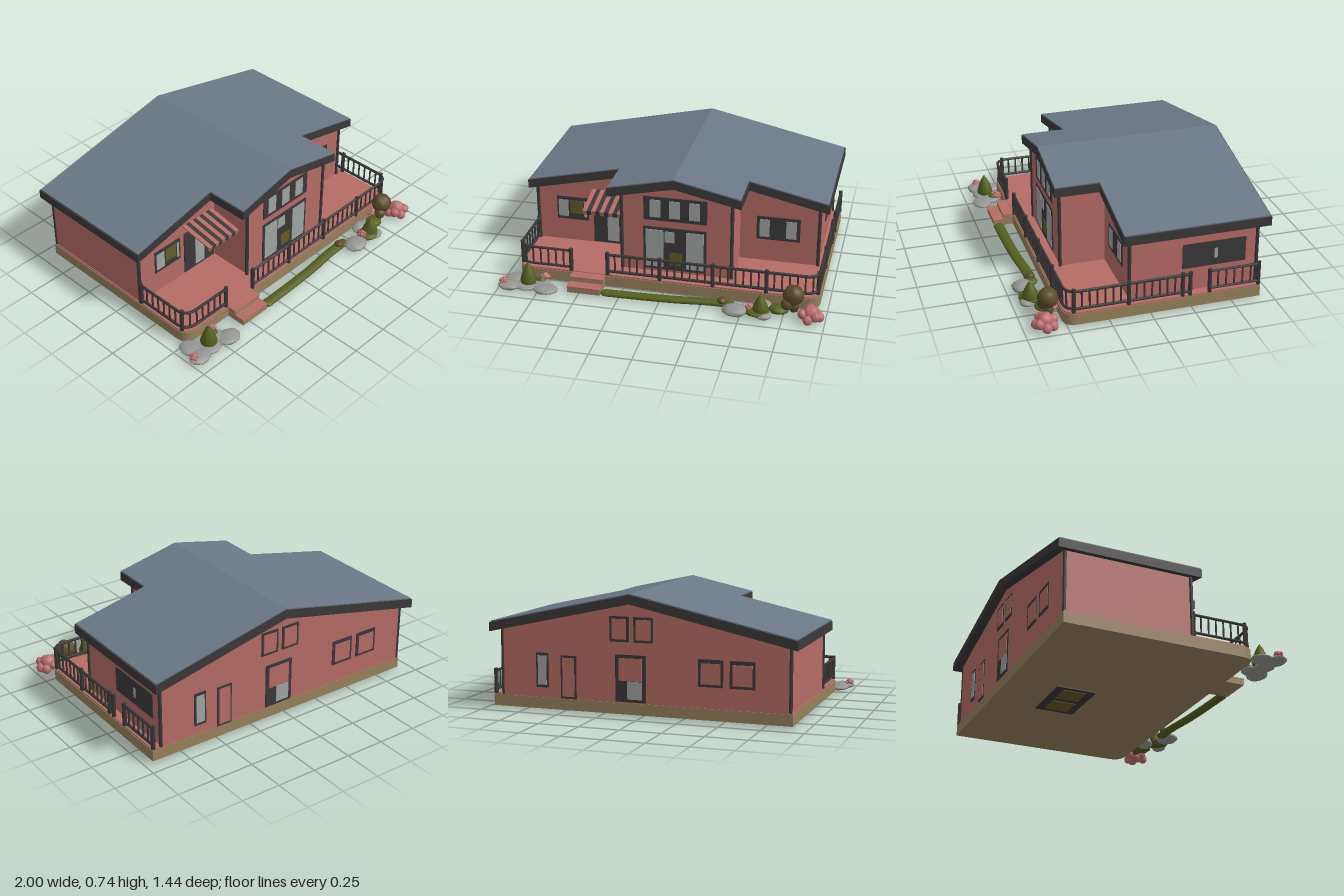
import * as THREE from 'three';
import { mergeGeometries } from 'three/addons/utils/BufferGeometryUtils.js';

const mat = (name, color) => {
  const m = new THREE.MeshStandardMaterial({ color });
  m.name = name;
  return m;
};

export function createModel() {
  const M = {
    roof: mat('slate blue roof', 0x6c7886),
    wall: mat('pink plaster', 0xb66c65),
    trim: mat('dark trim', 0x3b3839),
    base: mat('tan foundation', 0x98815c),
    glass: mat('pale glass', 0x9fa4a2),
    amber: mat('olive interior', 0x655a26),
    leaf: mat('leaf green', 0x55601f),
    bush: mat('brown green bush', 0x5a4c28),
    rock: mat('grey rock', 0x959593),
    flower: mat('pink flower', 0xb96e6e),
  };
  const model = new THREE.Group();
  model.name = 'house';

  const add = (name, geo, material, x = 0, y = 0, z = 0, parent = model) => {
    const mesh = new THREE.Mesh(geo, material);
    mesh.name = name;
    mesh.position.set(x, y, z);
    parent.add(mesh);
    return mesh;
  };
  // Box given by its limits
  const box = (name, material, x0, x1, y0, y1, z0, z1, parent = model) =>
    add(name, new THREE.BoxGeometry(x1 - x0, y1 - y0, z1 - z0), material,
      (x0 + x1) / 2, (y0 + y1) / 2, (z0 + z1) / 2, parent);
  // Outline in x and y, extruded from z0 to z1
  const prism = (name, material, points, z0, z1) => {
    const shape = new THREE.Shape(points.map(p => new THREE.Vector2(...p)));
    return add(name, new THREE.ExtrudeGeometry(shape, { depth: z1 - z0, bevelEnabled: false }), material, 0, 0, z0);
  };

  // Foundation and deck with rounded front corners
  const plan = (inset) => {
    const l = -0.915 + inset, r = 0.95 - inset, b = -0.67 + inset, f = 0.52 - inset, c = 0.08;
    const s = new THREE.Shape();
    s.moveTo(l, b);
    s.lineTo(r, b);
    s.lineTo(r, f - c);
    s.quadraticCurveTo(r, f, r - c, f);
    s.lineTo(l + c, f);
    s.quadraticCurveTo(l, f, l, f - c);
    return s;
  };
  const slab = (name, material, inset, y0, y1) => {
    const geo = new THREE.ExtrudeGeometry(plan(inset), { depth: y1 - y0, bevelEnabled: false, curveSegments: 6 });
    add(name, geo.rotateX(Math.PI / 2), material, 0, y1, 0);
  };
  slab('foundation', M.base, 0, 0.025, 0.093);
  slab('deck', M.wall, 0.004, 0.093, 0.102);

  // Front steps with pink treads
  [[0.645, 0.058], [0.58, 0.09]].forEach(([z, y]) => {
    box('step', M.base, -0.565, -0.36, 0.025, y, 0.5, z);
    box('stepTread', M.wall, -0.567, -0.358, y, y + 0.008, 0.5, z + 0.002);
  });

  // Walls reach up to the roof slope
  const ridge = 0.05;
  const top = x => 0.738 - 0.22 * Math.abs(x - ridge);
  const walls = (name, x0, x1, z0, z1) => prism(name, M.wall,
    [[x0, 0.095], [x1, 0.095], [x1, top(x1) - 0.03], [ridge, top(ridge) - 0.03], [x0, top(x0) - 0.03]], z0, z1);
  walls('mainWalls', -0.905, 0.89, -0.668, 0.12);
  walls('frontWing', -0.28, 0.4, 0.11, 0.4);

  // Roof: dark slab with a blue skin on top
  const chevron = (x0, x1, up, thick) => [
    [x0, top(x0) + up - thick], [ridge, top(ridge) + up - thick], [x1, top(x1) + up - thick],
    [x1, top(x1) + up], [ridge, top(ridge) + up], [x0, top(x0) + up]];
  prism('mainRoofEdge', M.trim, chevron(-0.95, 0.95, 0, 0.055), -0.72, 0.17);
  prism('wingRoofEdge', M.trim, chevron(-0.36, 0.46, 0, 0.055), 0.17, 0.442);
  prism('mainRoof', M.roof, chevron(-0.943, 0.943, 0.007, 0.009), -0.713, 0.166);
  prism('wingRoof', M.roof, chevron(-0.355, 0.455, 0.007, 0.009), 0.166, 0.438);

  // Dark corner posts
  [[-0.28, 0.4], [0.4, 0.4], [-0.905, 0.12], [0.89, 0.12], [0.89, -0.662], [-0.9, -0.662]].forEach(([x, z]) => {
    const h = top(x) - 0.04 - 0.1;
    add('cornerPost', new THREE.CylinderGeometry(0.011, 0.011, h, 8), M.trim, x, 0.1 + h / 2, z);
  });

  // Thin framed opening; panes are [x0, x1, y0, y1, material] in fractions of the frame
  const opening = (name, x, y, z, w, h, turn, panes, frame = M.trim) => {
    const g = new THREE.Group();
    g.name = name;
    g.position.set(x, y, z);
    g.rotation.y = turn;
    model.add(g);
    box('frame', frame, -w / 2, w / 2, -h / 2, h / 2, -0.002, 0.006, g);
    panes.forEach(([a, b, c, d, m]) =>
      box('pane', m, (a - 0.5) * w, (b - 0.5) * w, (c - 0.5) * h, (d - 0.5) * h, 0.004, 0.009, g));
  };
  const { glass, amber, trim, wall } = M;
  opening('upperWindow', 0.053, 0.528, 0.4, 0.39, 0.155, 0,
    [0.1, 0.41, 0.72].map(a => [a, a + 0.17, 0.14, 0.88, glass]));
  opening('glassDoor', 0.05, 0.262, 0.4, 0.39, 0.285, 0,
    [[0.04, 0.32, 0.06, 0.94, glass], [0.68, 0.96, 0.06, 0.94, glass], [0.42, 0.62, 0.12, 0.42, amber], [0.34, 0.5, 0.66, 0.92, glass]]);
  opening('frontDoor', -0.415, 0.26, 0.12, 0.25, 0.3, 0,
    [[0.36, 0.66, 0.05, 0.93, glass]]);
  opening('leftFrontWindow', -0.677, 0.328, 0.12, 0.205, 0.155, 0,
    [[0.05, 0.36, 0.12, 0.86, glass], [0.42, 0.82, 0.28, 0.86, amber], [0.86, 0.94, 0.15, 0.85, glass]]);
  opening('rightFrontWindow', 0.638, 0.328, 0.12, 0.27, 0.155, 0,
    [[0.07, 0.3, 0.12, 0.88, glass], [0.68, 0.92, 0.12, 0.88, glass]]);
  opening('sideWindow', 0.89, 0.328, -0.395, 0.39, 0.155, Math.PI / 2,
    [[0.5, 0.55, 0.3, 0.7, glass]]);

  // Rear openings
  const back = -0.668;
  opening('rearNarrowWindow', 0.625, 0.26, back, 0.08, 0.21, Math.PI, [[0.15, 0.85, 0.08, 0.92, glass]]);
  opening('rearDoor', 0.455, 0.225, back, 0.1, 0.26, Math.PI, [[0.12, 0.88, 0.05, 0.95, wall]]);
  opening('rearCentreDoor', 0.06, 0.24, back, 0.19, 0.28, Math.PI,
    [[0.12, 0.88, 0.45, 0.93, wall], [0.4, 0.88, 0.06, 0.44, glass]]);
  [0.13, -0.02].forEach(x =>
    opening('rearUpperWindow', x, 0.53, back, 0.12, 0.15, Math.PI, [[0.12, 0.88, 0.1, 0.9, wall]]));
  [-0.43, -0.62].forEach(x =>
    opening('rearWindow', x, 0.3, back, 0.15, 0.16, Math.PI, [[0.12, 0.9, 0.1, 0.86, wall]]));

  // Hatch under the floor
  box('floorHatch', trim, -0.1, 0.28, 0.018, 0.026, -0.37, -0.12);
  [-0.07, 0.11].forEach(x => box('hatchPane', amber, x, x + 0.14, 0.015, 0.02, -0.32, -0.17));

  // Striped awning over the front door
  const awning = new THREE.Group();
  awning.name = 'awning';
  awning.position.set(-0.42, 0.475, 0.12);
  awning.rotation.x = 0.18;
  model.add(awning);
  for (let i = 0; i < 9; i++) {
    const x = -0.125 + i * 0.0275, m = i % 2 ? trim : wall;
    box('awningStripe', m, x, x + 0.0275, -0.008, 0, 0, 0.23, awning);
    box('awningFlap', m, x, x + 0.0275, -0.028, 0, 0.222, 0.23, awning);
  }

  // Railings follow a path in x and z
  const railing = (name, pts) => {
    const path = new THREE.CurvePath();
    const v = ([x, z]) => new THREE.Vector3(x, 0, z);
    for (let i = 0; i < pts.length - 1; i++) {
      if (pts[i + 1].length === 3) { // third value marks a rounded corner
        path.add(new THREE.QuadraticBezierCurve3(v(pts[i]), v(pts[i + 1]), v(pts[i + 2])));
        i++;
      } else path.add(new THREE.LineCurve3(v(pts[i]), v(pts[i + 1])));
    }
    const len = path.getLength(), n = Math.round(len / 0.047), parts = [];
    [0.125, 0.237].forEach(y =>
      parts.push(new THREE.TubeGeometry(path, Math.max(8, n * 2), 0.009, 6).translate(0, y, 0)));
    for (let i = 0; i <= n; i++) {
      const p = path.getPointAt(i / n), post = i === 0 || i === n || i % 7 === 0;
      const r = post ? 0.013 : 0.006, y0 = post ? 0.1 : 0.125, y1 = post ? 0.252 : 0.237;
      parts.push(new THREE.CylinderGeometry(r, r, y1 - y0, 6).translate(p.x, (y0 + y1) / 2, p.z));
    }
    add(name, mergeGeometries(parts), trim);
  };
  railing('leftRailing', [[-0.903, 0.13], [-0.903, 0.43], [-0.903, 0.51, 1], [-0.82, 0.51], [-0.575, 0.51]]);
  railing('frontRailing', [[-0.345, 0.51], [0.86, 0.51], [0.94, 0.51, 1], [0.94, 0.43], [0.94, -0.235]]);
  railing('rearSideRailing', [[0.94, -0.355], [0.94, -0.66]]);

  // Garden: lumpy blobs, each [x, y, z, rx, ry, rz]
  const blobs = (name, material, list, lump = 0.07) => add(name, mergeGeometries(list.map(([x, y, z, rx, ry = rx, rz = rx]) => {
    const geo = new THREE.SphereGeometry(1, 16, 12), p = geo.attributes.position;
    for (let i = 0; i < p.count; i++) {
      const k = 1 + lump * Math.sin(5 * p.getX(i) + x * 40) * Math.cos(4 * p.getZ(i) + p.getY(i) * 5);
      p.setXYZ(i, p.getX(i) * k, p.getY(i) * k, p.getZ(i) * k);
    }
    geo.scale(rx, ry, rz).translate(x, y, z).computeVertexNormals();
    return geo;
  })), material);
  const cone = (x, z, h, r) => add('coneShrub', new THREE.LatheGeometry(
    [[0, 0], [0.8, 0.02], [1, 0.2], [0.75, 0.5], [0.35, 0.82], [0, 1]].map(([a, b]) => new THREE.Vector2(a * r, b * h)), 14),
    M.leaf, x, 0.03, z);

  const hedge = new THREE.CatmullRomCurve3([[-0.33, 0.62], [-0.1, 0.615], [0.1, 0.605], [0.3, 0.585], [0.42, 0.585]]
    .map(([x, z]) => new THREE.Vector3(x, 0, z)));
  add('hedge', new THREE.TubeGeometry(hedge, 24, 0.034, 8), M.leaf, 0, 0.036, 0).scale.y = 0.5;
  blobs('hedgeEnds', M.leaf, [[-0.325, 0.036, 0.62, 0.034, 0.017], [0.42, 0.036, 0.585, 0.036, 0.018]]);

  blobs('leftRocks', M.rock, [[-0.92, 0.032, 0.56, 0.06, 0.018, 0.07], [-0.93, 0.032, 0.65, 0.07, 0.022, 0.055],
    [-0.83, 0.032, 0.63, 0.08, 0.018, 0.06], [-0.7, 0.034, 0.655, 0.075, 0.02, 0.06], [-0.75, 0.032, 0.59, 0.06, 0.018, 0.06]]);
  blobs('rightRocks', M.rock, [[0.47, 0.04, 0.65, 0.075, 0.028, 0.065], [0.62, 0.04, 0.56, 0.06, 0.03, 0.045], [0.64, 0.035, 0.67, 0.05, 0.02, 0.04]]);
  cone(-0.82, 0.61, 0.15, 0.052);
  cone(0.62, 0.64, 0.13, 0.052);
  blobs('lowShrubs', M.leaf, [[0.6, 0.045, 0.64, 0.075, 0.022, 0.065], [0.72, 0.045, 0.59, 0.06, 0.025, 0.05], [-0.75, 0.045, 0.57, 0.03, 0.02, 0.03]]);
  blobs('roundBush', M.bush, [[0.805, 0.145, 0.58, 0.062, 0.06, 0.06], [0.81, 0.07, 0.58, 0.03, 0.04, 0.03], [0.77, 0.09, 0.6, 0.035],
    [0.38, 0.055, 0.585, 0.03, 0.02, 0.03]]);

  // Flower clusters: a core ringed with petals
  const flower = (x, y, z, r) => {
    const list = [[x, y + r * 0.3, z, r * 0.6]];
    for (let i = 0; i < 7; i++) {
      const a = i * Math.PI * 2 / 7;
      list.push([x + Math.cos(a) * r * 0.62, y + (i % 2) * r * 0.25, z + Math.sin(a) * r * 0.62, r * 0.36]);
    }
    blobs('flowerCluster', M.flower, list);
  };
  flower(0.915, 0.042, 0.625, 0.082);
  flower(-0.97, 0.05, 0.64, 0.03);
  flower(-0.735, 0.055, 0.545, 0.032);
  flower(0.555, 0.06, 0.63, 0.03);
  flower(0.77, 0.06, 0.54, 0.035);

  return model;
}
